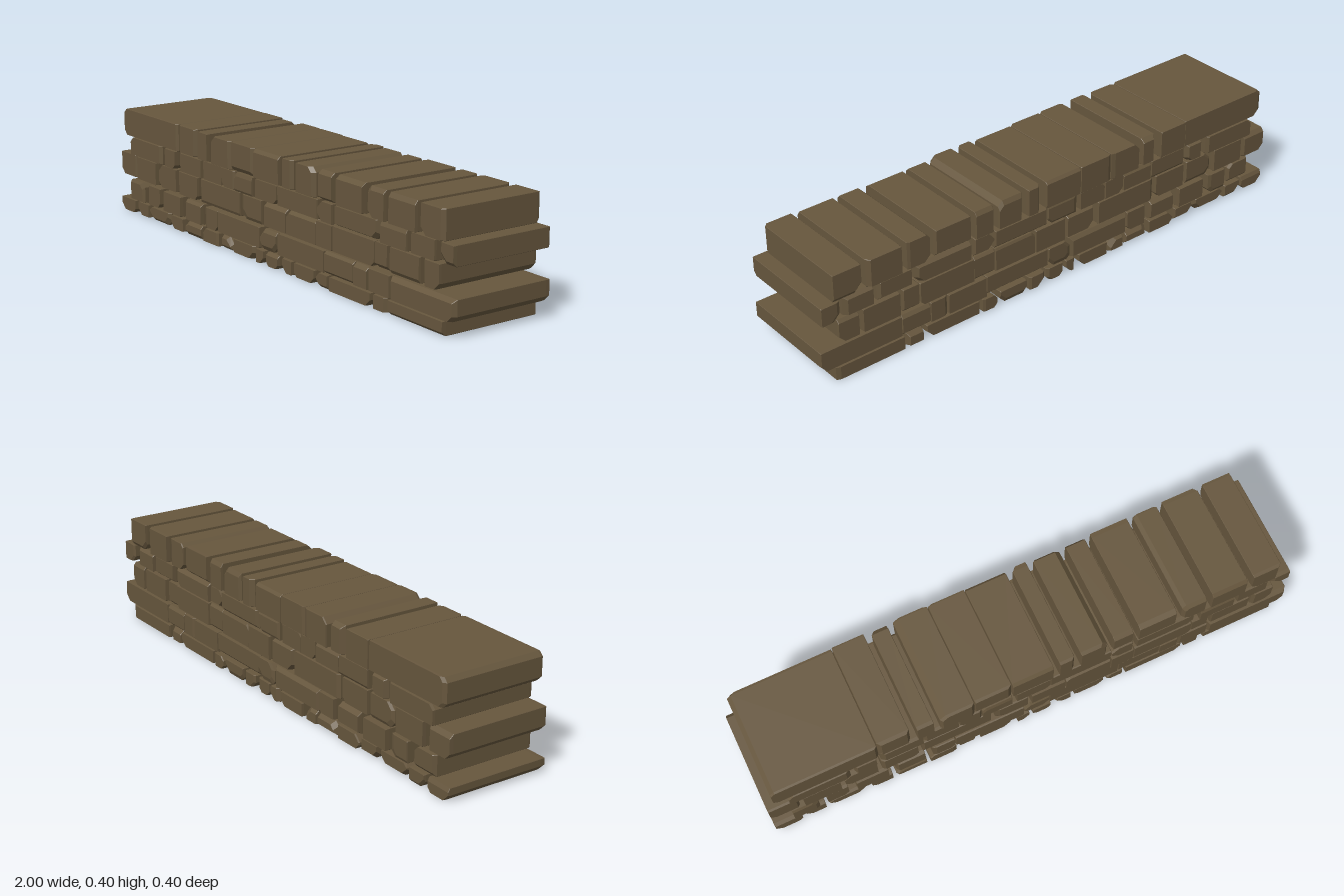
import * as THREE from 'three';
import { ConvexGeometry } from 'three/addons/geometries/ConvexGeometry.js';

// Small seeded generator
let seed = 7;
const rand = () => {
  seed = (seed * 16807) % 2147483647;
  return seed / 2147483647;
};
const chip = (chance) => (rand() < chance ? 0.012 + rand() * 0.014 : 0.0015);

// Rectangle with its four corners cut: c = bottom left, bottom right, top right, top left
function profile(x0, x1, y0, y1, c, z) {
  return [
    [x0 + c[0], y0], [x1 - c[1], y0], [x1, y0 + c[1]], [x1, y1 - c[2]],
    [x1 - c[2], y1], [x0 + c[3], y1], [x0, y1 - c[3]], [x0, y0 + c[0]],
  ].map(([x, y]) => new THREE.Vector3(x, y, z));
}

// A long block running through the wall, with chipped long edges and bevelled ends
function stoneGeometry(x0, x1, y0, y1, low) {
  const cuts = [chip(low), chip(low), chip(0.12), chip(0.12)];
  const points = [];
  for (const side of [1, -1]) {
    const face = 0.199 - rand() * 0.007;
    const bevel = 0.004 + rand() * 0.014;
    const inset = cuts.map(() => (rand() < 0.3 ? 0.008 + rand() * 0.008 : 0.001));
    points.push(...profile(x0, x1, y0, y1, cuts, side * (face - bevel)));
    points.push(...profile(x0 + inset[0], x1 - inset[1], y0 + inset[2], y1 - inset[3], cuts, side * face));
  }
  return new ConvexGeometry(points);
}

export function createModel() {
  const wall = new THREE.Group();
  wall.name = 'stoneWall';
  const material = new THREE.MeshStandardMaterial({ color: 0x66563d, flatShading: true });

  // One course: joints run from its left end to its right end; tight lists the joints that nearly close
  function addCourse(name, y0, y1, low, gap, tight, joints) {
    const course = new THREE.Group();
    course.name = name;
    const last = joints.length - 1;
    const halfGap = (i) => {
      if (i === 0 || i === last) return 0;
      return tight.includes(i) ? 0.0015 : gap / 2;
    };
    for (let i = 0; i < last; i++) {
      const x0 = joints[i] + halfGap(i);
      const x1 = joints[i + 1] - halfGap(i + 1);
      const stone = new THREE.Mesh(stoneGeometry(x0, x1, y0, y1, low), material);
      stone.name = `stone${i + 1}`;
      course.add(stone);
    }
    wall.add(course);
  }

  addCourse('footCourse', 0, 0.05, 0.6, 0.014, [],
    [-1, -0.89, -0.8, -0.64, -0.545, -0.415, -0.3, -0.22, -0.075, -0.015, 0.07, 0.15, 0.28, 0.355, 0.59, 0.668, 0.945]);
  addCourse('secondCourse', 0.055, 0.131, 0.15, 0.03, [5, 6, 7, 8, 9, 10, 11],
    [-0.925, -0.812, -0.7, -0.55, -0.41, -0.309, -0.043, 0.058, 0.329, 0.492, 0.565, 0.682, 1]);
  addCourse('thirdCourse', 0.142, 0.229, 0.3, 0.016, [7, 8, 9, 10],
    [-1, -0.882, -0.728, -0.59, -0.438, -0.162, -0.022, 0.117, 0.292, 0.382, 0.608, 0.68, 0.842, 0.93]);
  addCourse('fourthCourse', 0.23, 0.299, 0.15, 0.018, [3, 4, 5, 7, 8],
    [-0.92, -0.685, -0.588, -0.421, -0.288, -0.202, -0.08, 0.059, 0.292, 0.382, 0.628, 0.778, 0.91, 0.99]);
  addCourse('topCourse', 0.3, 0.402, 0.15, 0.024, [1, 4, 5],
    [-0.97, -0.583, -0.452, -0.367, -0.226, -0.086, 0.08, 0.16, 0.285, 0.382, 0.548, 0.662, 0.82, 0.94]);
  return wall;
}
